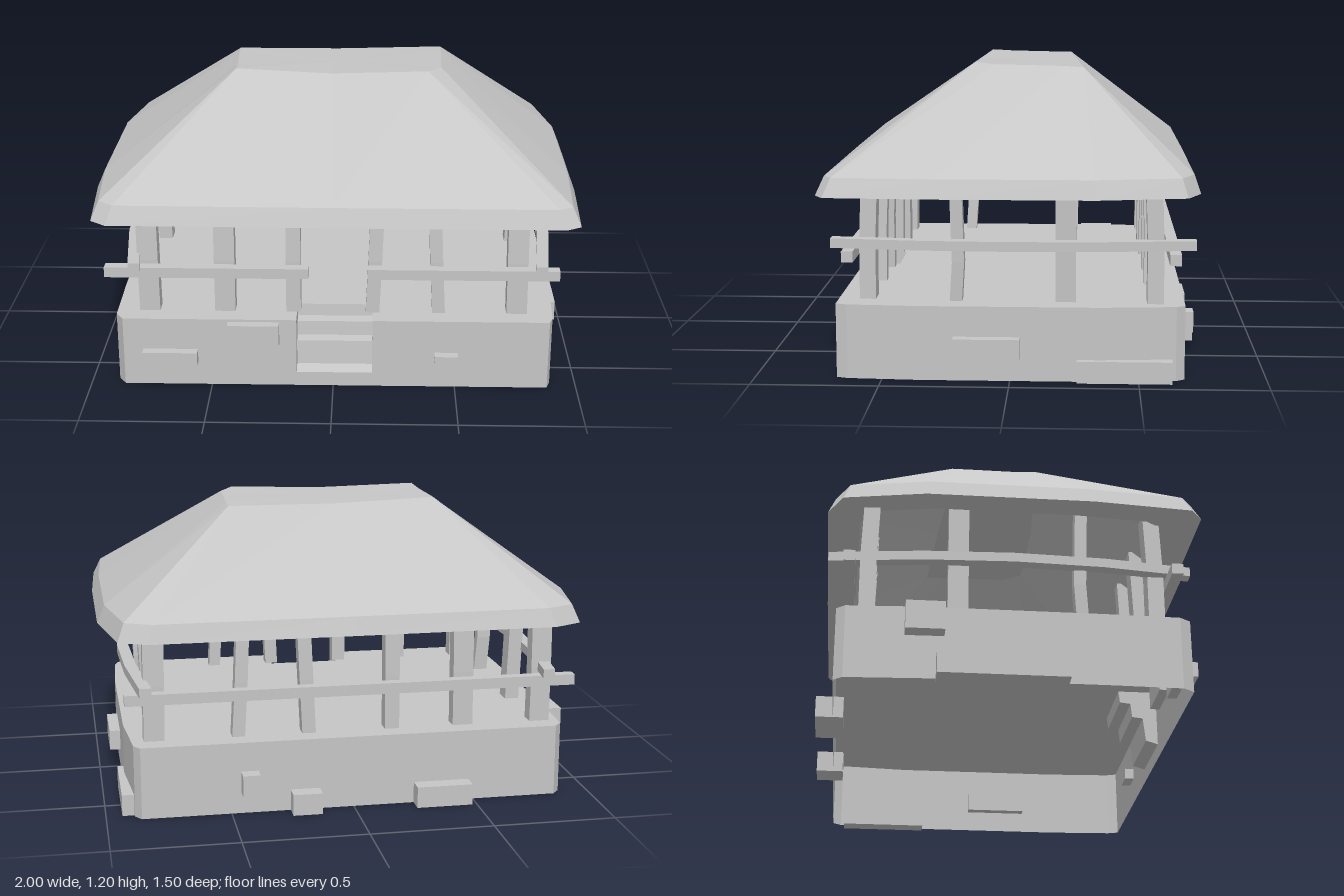
import * as THREE from 'three';

const stone = new THREE.MeshStandardMaterial({ color: 0xc6c6c6, flatShading: true, side: THREE.DoubleSide });
stone.name = 'pale grey';

// Flat-faced mesh from a list of quads (four corners each)
function quadMesh(name, quads) {
  const pos = [];
  for (const [a, b, c, d] of quads) pos.push(...a, ...b, ...c, ...a, ...c, ...d);
  const g = new THREE.BufferGeometry();
  g.setAttribute('position', new THREE.Float32BufferAttribute(pos, 3));
  g.computeVertexNormals();
  const m = new THREE.Mesh(g, stone);
  m.name = name;
  return m;
}

// Box between two corners
function block(name, x0, x1, y0, y1, z0, z1) {
  const m = new THREE.Mesh(new THREE.BoxGeometry(x1 - x0, y1 - y0, z1 - z0), stone);
  m.position.set((x0 + x1) / 2, (y0 + y1) / 2, (z0 + z1) / 2);
  m.name = name;
  return m;
}

// Square bar swept through points, each [x, y, z]; along z or upright
function bar(name, points, half, upright) {
  const [hx, hv] = half;
  const rings = points.map(([x, y, z]) => [[-1, -1], [1, -1], [1, 1], [-1, 1]].map(([u, v]) =>
    upright ? [x + u * hx, y, z - v * hv] : [x + u * hx, y + v * hv, z]));
  const quads = [[...rings[0]].reverse(), rings.at(-1)];
  for (let i = 0; i < rings.length - 1; i++) {
    for (let k = 0; k < 4; k++) {
      const n = (k + 1) % 4;
      quads.push([rings[i][k], rings[i][n], rings[i + 1][n], rings[i + 1][k]]);
    }
  }
  return quadMesh(name, quads);
}

const FLOOR = 0.295, NL = -0.15, NR = 0.16, FRONT = 0.68, STEP = 0.06;

// Hollow plinth, open underneath, with a stair notch cut in the front
function buildBase() {
  const base = new THREE.Group();
  base.name = 'base';
  const outline = [
    [-0.85, -0.68], [0.86, -0.68], [0.885, -0.645], [0.91, -0.35], [0.91, 0.35], [0.895, 0.635], [0.88, FRONT],
    [NR, FRONT], [NL, FRONT], [-0.86, FRONT], [-0.89, 0.635], [-0.895, 0.35], [-0.895, -0.35], [-0.88, -0.645],
  ];
  const walls = outline.map(([x, z], i) => {
    const [nx, nz] = outline[(i + 1) % outline.length];
    const top = i === 7 ? STEP : FLOOR;
    return [[nx, 0, nz], [x, 0, z], [x, top, z], [nx, top, nz]];
  });
  base.add(quadMesh('plinthWalls', walls));

  const back = 0.52;
  const plan = [...outline.slice(0, 8), [NR, back], [NL, back], ...outline.slice(8)];
  const floor = new THREE.Mesh(new THREE.ShapeGeometry(
    new THREE.Shape(plan.map(([x, z]) => new THREE.Vector2(x, -z)))), stone);
  floor.rotation.x = -Math.PI / 2;
  floor.position.y = FLOOR;
  floor.name = 'floor';
  base.add(floor);

  // Steps as a [z, y] profile, with cheeks either side
  const profile = [[FRONT, STEP], [0.63, 0.075], [0.62, 0.175], [0.575, 0.18], [0.57, 0.24], [0.525, 0.245], [back, FLOOR]];
  const steps = [];
  for (let i = 0; i < profile.length - 1; i++) {
    const [z0, y0] = profile[i], [z1, y1] = profile[i + 1];
    steps.push([[NL, y0, z0], [NR, y0, z0], [NR, y1, z1], [NL, y1, z1]]);
    steps.push([[NL, y0, z0], [NL, y1, z1], [NL, FLOOR, z1], [NL, FLOOR, z0]]);
    steps.push([[NR, y0, z0], [NR, FLOOR, z0], [NR, FLOOR, z1], [NR, y1, z1]]);
  }
  base.add(quadMesh('steps', steps));

  // Protruding stones: x0, x1, y0, y1, z0, z1
  const stones = [
    [-0.78, -0.555, 0.1, 0.16, 0.64, 0.72], [0.415, 0.51, 0.108, 0.155, 0.64, 0.72], [-0.43, -0.22, 0.19, 0.285, 0.64, 0.72],
    [0.87, 0.955, 0.09, 0.175, -0.04, 0.22], [0.86, 0.935, 0, 0.087, -0.63, -0.26],
    [-0.96, -0.85, 0, 0.087, -0.3, 0.2], [-0.96, -0.85, 0.175, 0.29, -0.42, -0.27],
    [-0.48, -0.25, 0, 0.087, -0.75, -0.64], [0.14, 0.26, 0, 0.087, -0.75, -0.64], [0.39, 0.46, 0.087, 0.175, -0.74, -0.64],
  ];
  for (const s of stones) base.add(block('stone', ...s));
  return base;
}

// Leaning posts round the edge
function buildPosts() {
  const posts = new THREE.Group();
  posts.name = 'posts';
  // bottom x, top x, half width
  const row = [[-0.78, -0.785, 0.042], [-0.46, -0.46, 0.042], [-0.17, -0.17, 0.03], [0.165, 0.185, 0.028], [0.445, 0.42, 0.026], [0.775, 0.77, 0.042]];
  for (const z of [0.565, -0.565]) {
    const spread = z > 0 ? 0.97 : 1.03;
    for (const [b, t, w] of row) {
      posts.add(bar('post', [[b * spread, FLOOR, z], [(b + t) / 2 * spread, 0.52, z], [t * spread, 0.79, z - Math.sign(z) * 0.01]], [w, 0.032], true));
    }
  }
  for (const side of [1, -1]) {
    const z = side > 0 ? 0.215 : 0.27;
    posts.add(bar('sidePost', [[side * 0.79, FLOOR, z], [side * 0.8, 0.45, z - 0.01], [side * 0.81, 0.79, z]], [0.03, 0.024], true));
    posts.add(bar('sidePost', [[side * 0.79, FLOOR, -0.215], [side * 0.81, 0.79, -0.215]], [0.03, 0.04], true));
  }
  return posts;
}

// Rails: straight at front and back, bowed outwards at the sides
function buildRails() {
  const rails = new THREE.Group();
  rails.name = 'rails';
  rails.add(block('frontRail', -0.93, -0.1, 0.465, 0.508, 0.605, 0.65));
  rails.add(block('frontRail', 0.14, 0.915, 0.465, 0.508, 0.605, 0.65));
  rails.add(block('backRail', -0.93, 0.915, 0.462, 0.506, -0.66, -0.615));
  for (const [s, end, mid] of [[1, 0.835, 0.885], [-1, 0.8, 0.86]]) {
    const path = [[-0.72, 0], [-0.35, 0.75], [0, 1], [0.35, 0.75], [0.7, 0]]
      .map(([z, bow]) => [s * (end + (mid - end) * bow), 0.53, z]);
    rails.add(bar('sideRail', path, [0.024, 0.019], false));
  }
  return rails;
}

// Thick hipped roof: an eave ring, a rim ring, a sagging top, a soffit and an inner lining
function buildRoof() {
  // eave x, z and matching top x, y, z
  const ribs = [
    [-0.82, -0.73, -0.43, 1.19, -0.22], [0, -0.735, 0, 1.18, -0.255], [0.82, -0.735, 0.45, 1.185, -0.28],
    [0.935, -0.68, 0.45, 1.185, -0.28], [1, -0.33, 0.45, 1.19, -0.2], [1, 0.3, 0.44, 1.195, 0.08],
    [0.98, 0.71, 0.385, 1.2, 0.165], [0.92, 0.745, 0.385, 1.2, 0.165], [0, 0.745, -0.02, 1.188, 0.165],
    [-0.9, 0.74, -0.42, 1.2, 0.14], [-0.965, 0.69, -0.42, 1.2, 0.14], [-1, 0.3, -0.42, 1.195, 0.05],
    [-1, -0.35, -0.43, 1.19, -0.15], [-0.94, -0.67, -0.43, 1.19, -0.22],
  ];
  // Ring part-way in from the eave to the top, at height y
  const ring = (t, y) => ribs.map(([x, z, tx, , tz]) => [x + (tx - x) * t, y, z + (tz - z) * t]);
  const eave = ring(0, 0.727), rim = ring(0.055, 0.8), soffit = ring(0.25, 0.745), lining = ring(1, 1.11);
  const top = ribs.map(([, , x, y, z]) => [x, y, z]);
  const slopes = [], cap = [], inside = [];
  ribs.forEach((_, i) => {
    const n = (i + 1) % ribs.length;
    slopes.push([eave[n], eave[i], rim[i], rim[n]], [rim[n], rim[i], top[i], top[n]]);
    cap.push([[0, 1.185, -0.04], top[n], top[i], [0, 1.185, -0.04]]);
    inside.push([eave[i], eave[n], soffit[n], soffit[i]], [soffit[i], soffit[n], lining[n], lining[i]]);
    inside.push([[0, 1.11, -0.04], lining[i], lining[n], [0, 1.11, -0.04]]);
  });
  const roof = new THREE.Group();
  roof.name = 'roof';
  roof.add(quadMesh('roofSlopes', slopes), quadMesh('roofTop', cap), quadMesh('roofUnderside', inside));
  return roof;
}

export function createModel() {
  const model = new THREE.Group();
  model.name = 'pavilion';
  model.add(buildBase(), buildPosts(), buildRails(), buildRoof());
  return model;
}
